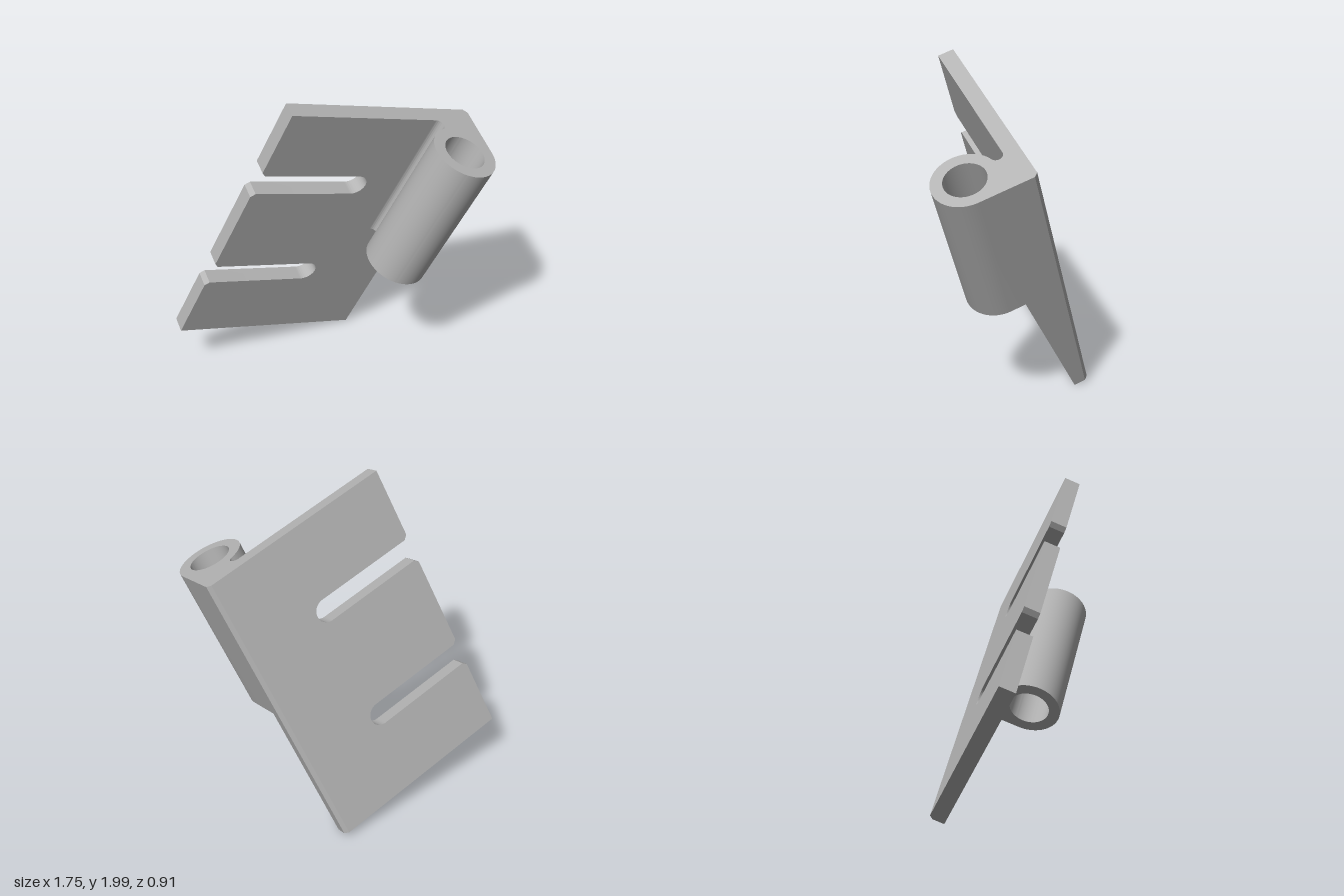
import * as THREE from 'three';
import { toCreasedNormals } from 'three/addons/utils/BufferGeometryUtils.js';

// Local frame: x across the leaf, y along the hinge axis, z through the thickness
const BOTTOM = -0.03, TOP = 1.76, MID = (BOTTOM + TOP) / 2;
const FREE = -0.373, EDGE = 0.799;          // slotted end and hinge end
const BACK = 0.168, FACE = 0.261;           // leaf surfaces
const BEVEL = 0.023;
const R = 0.186, BORE = 0.119;              // barrel radii
const CX = EDGE - R, CZ = 0.506;            // barrel centre

const steel = new THREE.MeshStandardMaterial({ color: 0xb4b4b4 });
steel.name = 'steel grey';

function extrude(shape, depth) {
  return new THREE.ExtrudeGeometry(shape, { depth, bevelEnabled: false, curveSegments: 40 });
}

// Extrude an (x, z) profile along the hinge axis, from the top down
function alongAxis(shape, length) {
  return extrude(shape, length).rotateX(Math.PI / 2).translate(0, TOP, 0);
}

function part(name, geometry) {
  const mesh = new THREE.Mesh(toCreasedNormals(geometry, 0.4), steel);
  mesh.name = name;
  return mesh;
}

// Leaf with two round-ended open slots, chamfered at their mouths
function leafGeometry() {
  const slotR = 0.07, slotEnd = 0.33, c = 0.024;
  const s = new THREE.Shape();
  s.moveTo(FREE, BOTTOM);
  s.lineTo(EDGE - BEVEL, BOTTOM);
  s.lineTo(EDGE - BEVEL, TOP);
  s.lineTo(FREE, TOP);
  for (const y of [MID + 0.375, MID - 0.375]) {
    s.lineTo(FREE, y + slotR + c);
    s.lineTo(FREE + c, y + slotR);
    s.lineTo(slotEnd - slotR, y + slotR);
    s.absarc(slotEnd - slotR, y, slotR, Math.PI / 2, -Math.PI / 2, true);
    s.lineTo(FREE + c, y - slotR);
    s.lineTo(FREE, y - slotR - c);
  }
  s.closePath();
  return extrude(s, FACE - BACK).translate(0, 0, BACK);
}

// Bevelled strip along the hinge end of the leaf
function edgeGeometry() {
  const s = new THREE.Shape();
  s.moveTo(EDGE - BEVEL, BACK);
  s.lineTo(EDGE, BACK + BEVEL);
  s.lineTo(EDGE, FACE);
  s.lineTo(EDGE - BEVEL, FACE);
  s.closePath();
  return alongAxis(s, TOP - BOTTOM);
}

// Bored barrel, tangent to the end face and filleted onto the leaf
function barrelGeometry() {
  const f = 0.035, fz = FACE + f;
  const fx = CX - Math.sqrt((R + f) ** 2 - (CZ - fz) ** 2);
  const touch = Math.atan2(CZ - fz, CX - fx);
  const s = new THREE.Shape();
  s.moveTo(EDGE, FACE);
  s.lineTo(EDGE, CZ);
  s.absarc(CX, CZ, R, 0, Math.PI + touch, false);
  s.absarc(fx, fz, f, touch, -Math.PI / 2, true);
  s.closePath();
  const bore = new THREE.Path();
  bore.absarc(CX, CZ, BORE, 0, Math.PI * 2, true);
  s.holes.push(bore);
  return alongAxis(s, TOP - MID);
}

export function createModel() {
  const hinge = new THREE.Group();
  hinge.name = 'hingeHalf';
  hinge.add(
    part('slottedLeaf', leafGeometry()),
    part('bevelledEdge', edgeGeometry()),
    part('hingeBarrel', barrelGeometry()),
  );

  // Lean the hinge axis sideways and turn the leaf about it
  const lean = THREE.MathUtils.degToRad(25), turn = THREE.MathUtils.degToRad(47.5);
  const side = new THREE.Vector3(Math.cos(lean), -Math.sin(lean), 0);
  const axis = new THREE.Vector3(Math.sin(lean), Math.cos(lean), 0);
  const front = new THREE.Vector3(0, 0, 1);
  const across = side.clone().multiplyScalar(Math.cos(turn)).addScaledVector(front, -Math.sin(turn));
  const through = side.clone().multiplyScalar(Math.sin(turn)).addScaledVector(front, Math.cos(turn));
  hinge.quaternion.setFromRotationMatrix(new THREE.Matrix4().makeBasis(across, axis, through));
  hinge.position.copy(side).multiplyScalar(-0.822);

  const model = new THREE.Group();
  model.name = 'model';
  model.add(hinge);

  // Stand on the ground, centred
  const box = new THREE.Box3().setFromObject(model, true);
  const mid = box.getCenter(new THREE.Vector3());
  hinge.position.sub(new THREE.Vector3(mid.x, box.min.y, mid.z));
  return model;
}
